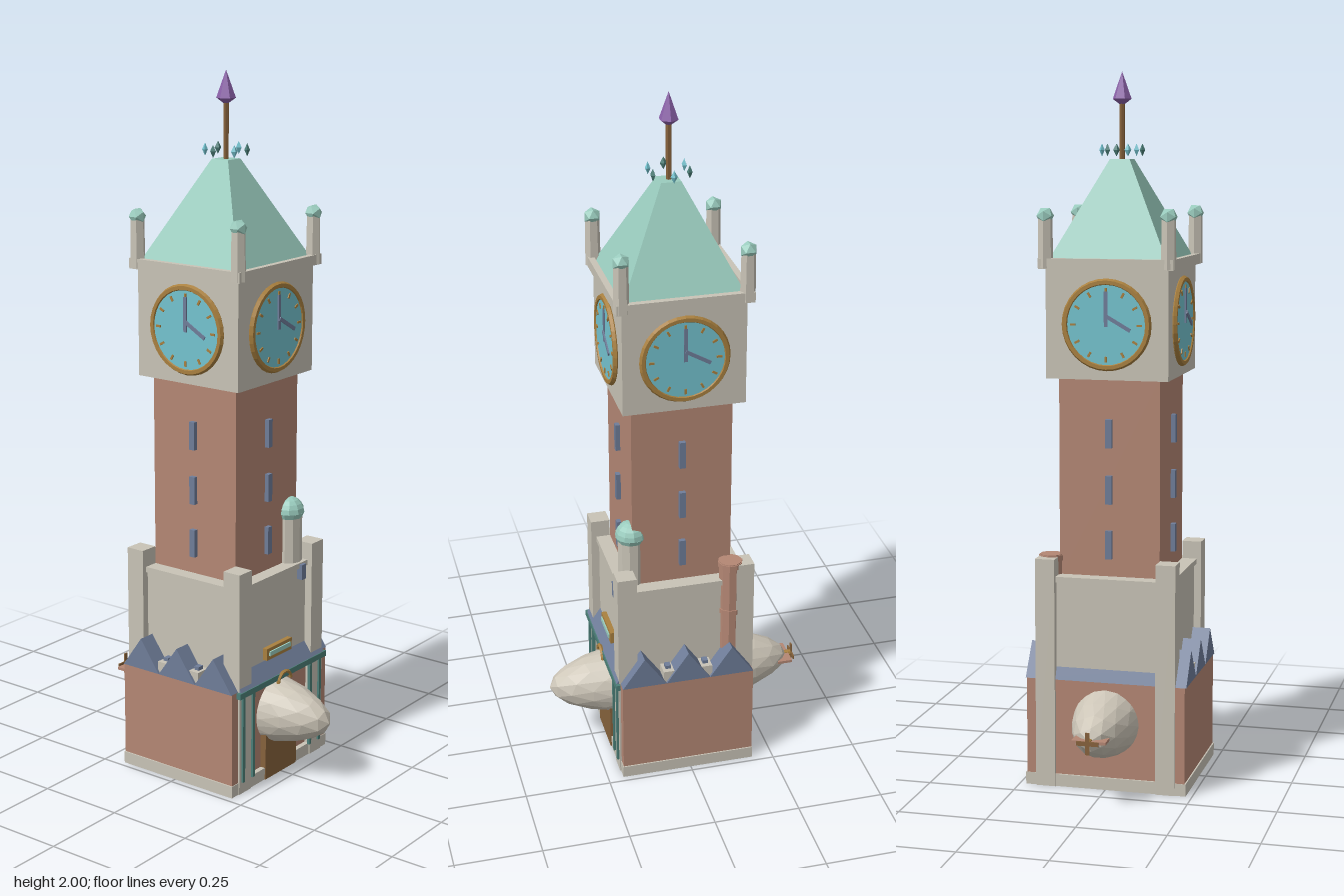
import * as THREE from 'three';

const material = (name, color) => {
  const m = new THREE.MeshStandardMaterial({ color, flatShading: true });
  m.name = name;
  return m;
};

export function createModel() {
  const brick = material('brick', 0xb48774);
  const stone = material('stone', 0xc8c3b6);
  const copper = material('paleCopper', 0x9accbe);
  const dial = material('dialBlue', 0x74c3cf);
  const slate = material('slate', 0x6f7d99);
  const gold = material('gold', 0xa9803f);
  const wood = material('wood', 0x86623c);
  const violet = material('violet', 0x8c62aa);
  const trim = material('darkTeal', 0x4c7f78);
  const canvas = material('canvas', 0xcdc6b8);

  const root = new THREE.Group();
  root.name = 'clockTower';
  const CZ = 0.007; // tower axis in z

  const add = (parent, name, geo, mat, x = 0, y = 0, z = 0) => {
    const mesh = new THREE.Mesh(geo, mat);
    mesh.name = name;
    mesh.position.set(x, y, z);
    parent.add(mesh);
    return mesh;
  };
  // box given by its min and max on each axis
  const box = (parent, name, mat, x0, x1, y0, y1, z0, z1) =>
    add(parent, name, new THREE.BoxGeometry(x1 - x0, y1 - y0, z1 - z0), mat,
      (x0 + x1) / 2, (y0 + y1) / 2, (z0 + z1) / 2);
  const group = (name, parent = root) => {
    const g = new THREE.Group();
    g.name = name;
    parent.add(g);
    return g;
  };
  // calls build(group) on each of the four sides of the tower
  const fourSides = (name, build) => {
    for (let i = 0; i < 4; i++) {
      const g = group(name);
      g.position.z = CZ;
      g.rotation.y = i * Math.PI / 2;
      build(g);
    }
  };

  // ground floor
  box(root, 'plinth', stone, -0.232, 0.232, 0, 0.035, -0.189, 0.205);
  box(root, 'groundFloor', brick, -0.205, 0.205, 0.035, 0.31, -0.183, 0.19);
  for (const s of [-1, 1]) {
    const wing = group('sideWing');
    const a = s < 0 ? -0.228 : 0.17, b = s < 0 ? -0.17 : 0.228;
    box(wing, 'wingWall', brick, a, b, 0.035, 0.31, -0.188, 0.203);
    // gabled dormers along the side
    for (const z of [-0.122, 0.008, 0.138]) {
      const tri = new THREE.Shape([
        new THREE.Vector2(-0.065, 0), new THREE.Vector2(0.065, 0), new THREE.Vector2(0, 0.092)]);
      const geo = new THREE.ExtrudeGeometry(tri, { depth: 0.062, bevelEnabled: false });
      geo.rotateY(Math.PI / 2);
      add(wing, 'gable', geo, slate, s < 0 ? -0.232 : 0.17, 0.31, z);
    }
    for (const z of [-0.048, 0.063]) {
      box(wing, 'gablePier', stone, s < 0 ? -0.225 : 0.18, s < 0 ? -0.18 : 0.225, 0.3, 0.345, z - 0.017, z + 0.017);
      box(wing, 'gableVent', slate, s * 0.2 - 0.01, s * 0.2 + 0.01, 0.345, 0.355, z - 0.008, z + 0.008);
    }
  }

  // middle storey with corner piers
  box(root, 'middleStorey', stone, -0.18, 0.18, 0.3, 0.59, -0.172, 0.185);
  box(root, 'middleCornice', stone, -0.187, 0.187, 0.588, 0.604, -0.18, 0.193);
  for (const x of [-0.173, 0.173]) {
    for (const z of [-0.165, 0.18]) {
      box(root, 'cornerPier', stone, x - 0.028, x + 0.028, 0, 0.655, z - 0.028, z + 0.028);
    }
  }

  // sloping skirt roofs on the front and back
  const skirt = (name, zWall, zEave) => {
    const s = new THREE.Shape([
      new THREE.Vector2(zWall, 0.31), new THREE.Vector2(zEave, 0.31), new THREE.Vector2(zWall, 0.36)]);
    const geo = new THREE.ExtrudeGeometry(s, { depth: 0.4, bevelEnabled: false });
    geo.rotateY(-Math.PI / 2);
    const m = add(root, name, geo, slate, 0.2, 0, 0);
    m.material = slate;
    return m;
  };
  skirt('frontSkirtRoof', 0.18, 0.215);
  skirt('backSkirtRoof', -0.165, -0.187);

  // front entrance
  const front = group('entrance');
  box(front, 'door', wood, -0.075, 0.075, 0, 0.17, 0.19, 0.208);
  for (const s of [-1, 1]) {
    box(front, 'frontWindow', slate, s * 0.132 - 0.012, s * 0.132 + 0.012, 0.08, 0.185, 0.19, 0.197);
    for (const x of [0.186, 0.14]) {
      box(front, 'canopyPost', trim, s * x - 0.005, s * x + 0.005, 0.035, 0.3, 0.205, 0.214);
    }
  }
  box(front, 'canopyBeam', trim, -0.21, 0.21, 0.293, 0.31, 0.205, 0.218);
  box(front, 'signBoard', gold, -0.06, 0.06, 0.358, 0.393, 0.185, 0.2);
  box(front, 'signCap', copper, -0.05, 0.05, 0.37, 0.383, 0.2, 0.204);
  const arch = add(front, 'entranceArch', new THREE.TorusGeometry(0.03, 0.006, 5, 10, Math.PI), gold, 0, 0.285, 0.218);
  arch.scale.y = 0.9;

  // airship passing through the ground floor
  const ship = group('airship');
  ship.position.set(0, 0.192, CZ);
  const hull = add(ship, 'envelope', new THREE.IcosahedronGeometry(1, 3), canvas);
  hull.scale.set(0.112, 0.112, 0.368);
  box(ship, 'tailFin', brick, -0.048, 0.048, -0.004, 0.004, -0.375, -0.33);
  const hub = add(ship, 'propellerShaft', new THREE.CylinderGeometry(0.009, 0.009, 0.035, 8), gold, 0, 0, -0.367);
  hub.rotation.x = Math.PI / 2;
  for (const r of [0, Math.PI / 2]) {
    const blade = add(ship, 'propellerBlade', new THREE.BoxGeometry(0.062, 0.012, 0.004), wood, 0, 0, -0.385);
    blade.rotation.z = r;
  }

  // round side turret and its bracket
  const turret = group('sideTurret');
  turret.position.set(0.114, 0, 0.148);
  add(turret, 'turretShaft', new THREE.CylinderGeometry(0.038, 0.038, 0.16, 10), stone, 0, 0.67, 0);
  add(turret, 'turretDome', new THREE.SphereGeometry(0.045, 10, 5, 0, Math.PI * 2, 0, Math.PI / 2), copper, 0, 0.75, 0);
  add(turret, 'turretEaves', new THREE.CylinderGeometry(0.045, 0.038, 0.015, 10), copper, 0, 0.7425, 0);
  box(turret, 'turretBracket', slate, -0.01, 0.01, 0.555, 0.6, 0.03, 0.055);

  // chimney with bands
  add(root, 'chimney', new THREE.CylinderGeometry(0.033, 0.033, 0.35, 10), brick, 0.17, 0.485, -0.13);
  for (const y of [0.5, 0.65]) {
    add(root, 'chimneyBand', new THREE.CylinderGeometry(0.036, 0.036, 0.015, 10), brick, 0.17, y, -0.13);
  }

  // brick shaft with slit windows
  box(root, 'towerShaft', brick, -0.144, 0.144, 0.59, 1.165, CZ - 0.144, CZ + 0.144);
  fourSides('shaftWindows', g => {
    for (const y of [0.695, 0.85, 1.008]) {
      box(g, 'slitWindow', slate, -0.009, 0.009, y - 0.04, y + 0.04, 0.14, 0.157);
    }
  });

  // clock storey
  box(root, 'clockStorey', stone, -0.173, 0.173, 1.16, 1.465, CZ - 0.173, CZ + 0.173);
  box(root, 'cornice', stone, -0.19, 0.19, 1.463, 1.478, CZ - 0.19, CZ + 0.19);
  fourSides('clock', g => {
    box(g, 'parapet', stone, -0.19, 0.19, 1.475, 1.492, 0.172, 0.19);
    const c = group('clockFace', g);
    c.position.set(0, 1.312, 0.173);
    const face = add(c, 'dial', new THREE.CylinderGeometry(0.115, 0.115, 0.008, 32), dial, 0, 0, 0.004);
    face.rotation.x = Math.PI / 2;
    add(c, 'dialRing', new THREE.TorusGeometry(0.117, 0.01, 6, 32), gold, 0, 0, 0.003);
    for (let i = 0; i < 12; i++) {
      const t = i * Math.PI / 6;
      const mark = add(c, 'hourMark', new THREE.BoxGeometry(0.006, 0.015, 0.004), gold,
        Math.sin(t) * 0.094, Math.cos(t) * 0.094, 0.009);
      mark.rotation.z = -t;
    }
    box(c, 'minuteHand', slate, -0.005, 0.005, -0.005, 0.092, 0.008, 0.012);
    const hour = add(c, 'hourHand', new THREE.BoxGeometry(0.08, 0.01, 0.004), slate, 0.034, 0.006, 0.013);
    hour.rotation.z = -0.52;
  });

  // corner pinnacles
  for (const sx of [-1, 1]) {
    for (const sz of [-1, 1]) {
      const p = group('pinnacle');
      p.position.set(sx * 0.173, 0, CZ + sz * 0.173);
      add(p, 'pinnacleShaft', new THREE.CylinderGeometry(0.02, 0.022, 0.14, 6), stone, 0, 1.535, 0);
      add(p, 'pinnacleCap', new THREE.IcosahedronGeometry(0.025, 0), copper, 0, 1.607, 0);
    }
  }

  // pyramid roof with a flat top
  const roofGeo = new THREE.CylinderGeometry(0.028 * Math.SQRT2, 0.172 * Math.SQRT2, 0.285, 4);
  roofGeo.rotateY(Math.PI / 4);
  add(root, 'roof', roofGeo, copper, 0, 1.6175, CZ);

  // mast, finial and floating shards
  add(root, 'mast', new THREE.CylinderGeometry(0.008, 0.008, 0.17, 6), wood, 0, 1.84, CZ);
  const tip = add(root, 'finial', new THREE.LatheGeometry([
    new THREE.Vector2(0, 1.905), new THREE.Vector2(0.027, 1.925), new THREE.Vector2(0, 2)], 6), violet, 0, 0, CZ);
  tip.rotation.y = Math.PI / 6;
  for (let i = 0; i < 6; i++) {
    const t = i * Math.PI / 3;
    const shard = add(root, 'shard', new THREE.OctahedronGeometry(1, 0), i % 2 ? trim : dial,
      Math.cos(t) * 0.058, 1.785, CZ + Math.sin(t) * 0.058);
    shard.scale.set(0.008, 0.018, 0.01);
    shard.rotation.y = -t;
  }
  return root;
}
